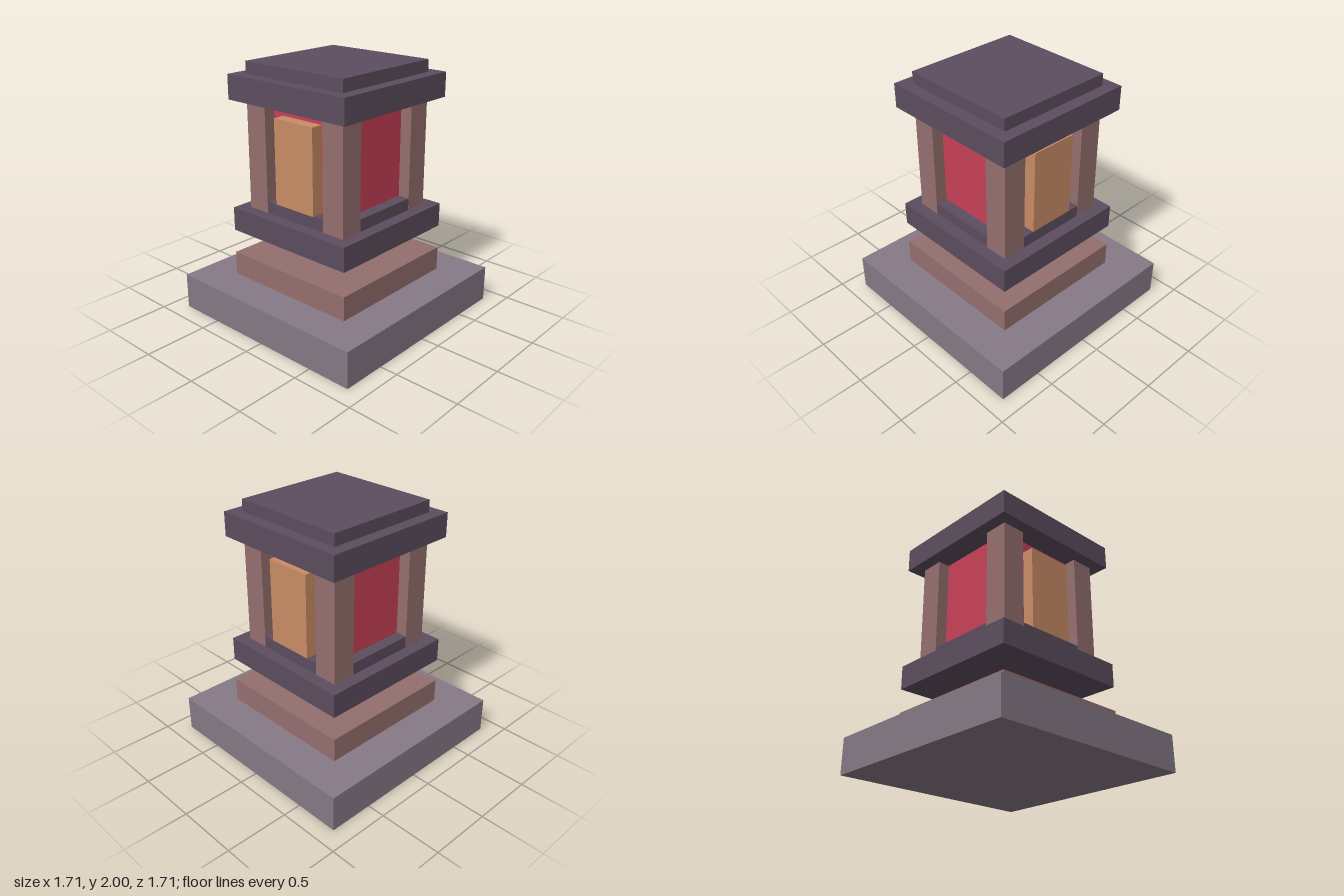
import * as THREE from 'three';

const flat = (name, color) => {
  const m = new THREE.MeshStandardMaterial({ color });
  m.name = name;
  return m;
};

export function createModel() {
  const stone = flat('greyStone', 0x857985);
  const brown = flat('brownWood', 0x946f6e);
  const dark = flat('darkWood', 0x5c4d5e);
  const red = flat('redPanel', 0xc84057);
  const tan = flat('tanDoor', 0xc88c66);

  const model = new THREE.Group();
  model.name = 'shrineLantern';

  // Box spanning y0..y1, centred on (x, z)
  const box = (name, material, w, d, y0, y1, x = 0, z = 0) => {
    const mesh = new THREE.Mesh(new THREE.BoxGeometry(w, y1 - y0, d), material);
    mesh.name = name;
    mesh.position.set(x, (y0 + y1) / 2, z);
    model.add(mesh);
  };

  // Stepped base and stem
  box('base', stone, 1.714, 1.714, 0, 0.286);
  box('step', brown, 1.143, 1.143, 0.286, 0.476);
  box('stem', dark, 0.381, 0.381, 0.476, 0.667);

  // Platform, sill and inner chamber
  box('platform', dark, 1.143, 1.143, 0.667, 0.857);
  box('sill', dark, 0.95, 0.95, 0.857, 0.952);
  box('chamber', red, 0.762, 0.762, 0.952, 1.714);

  // Corner posts
  for (const x of [-1, 1]) {
    for (const z of [-1, 1]) {
      box('post', brown, 0.19, 0.19, 0.857, 1.714, x * 0.381, z * 0.381);
    }
  }

  // Front and back doors
  for (const z of [-1, 1]) {
    box('door', tan, 0.381, 0.095, 0.952, 1.619, 0, z * 0.4285);
  }

  // Stepped roof
  box('roof', dark, 1.143, 1.143, 1.714, 1.905);
  box('roofCap', dark, 0.952, 0.952, 1.905, 2);

  return model;
}
